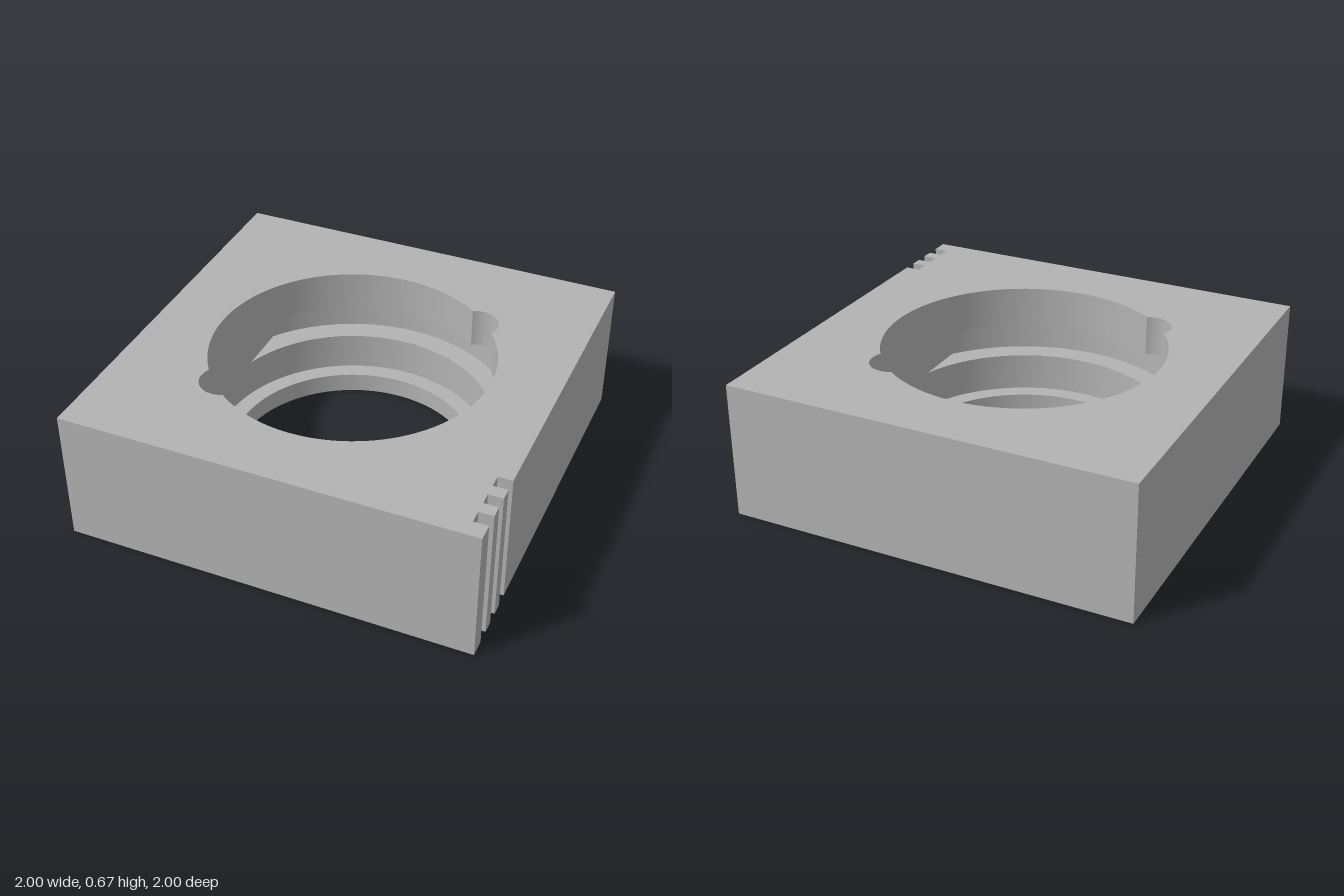
import * as THREE from 'three';
import { mergeGeometries, toCreasedNormals } from 'three/addons/utils/BufferGeometryUtils.js';

// Plan outlines are drawn in (x, -z) and counter-clockwise unless reversed.
const V = (x, y) => new THREE.Vector2(x, y);
const HEIGHT = 0.67, LIP = 0.1, SLOT_LOW = 0.29, SLOT_HIGH = 0.47;
const R_HOLE = 0.6, R_BORE = 0.685, R_SLOT = 0.8, SLOT_X = 0.655;
const KEY = 0.455, R_KEY = 0.11;

function arc(r, a0, a1, cx = 0, cy = 0) {
  const n = Math.max(2, Math.ceil(Math.abs(a1 - a0) / (Math.PI / 60)));
  return Array.from({ length: n + 1 }, (_, i) => {
    const a = a0 + (a1 - a0) * i / n;
    return V(cx + r * Math.cos(a), cy + r * Math.sin(a));
  });
}

const turn = pts => pts.map(p => V(-p.x, -p.y));
const reverse = pts => [...pts].reverse();

// Vertical wall along a path, facing to the right of its direction
function wall(pts, y0, y1) {
  const pos = [];
  for (let i = 0; i < pts.length - 1; i++) {
    const a = pts[i], b = pts[i + 1];
    if (a.distanceTo(b) < 1e-6) continue;
    pos.push(a.x, y0, -a.y, b.x, y0, -b.y, b.x, y1, -b.y);
    pos.push(a.x, y0, -a.y, b.x, y1, -b.y, a.x, y1, -a.y);
  }
  const g = new THREE.BufferGeometry();
  g.setAttribute('position', new THREE.Float32BufferAttribute(pos, 3));
  return g;
}

// Level face with an optional hole, facing up or down
function cap(pts, y, hole, down = false) {
  const shape = new THREE.Shape(pts);
  if (hole) shape.holes.push(new THREE.Path(hole));
  const g = new THREE.ShapeGeometry(shape);
  if (down) g.index.array.reverse();
  g.rotateX(-Math.PI / 2).translate(0, y, 0);
  const flat = g.toNonIndexed();
  flat.deleteAttribute('uv');
  flat.deleteAttribute('normal');
  return flat;
}

export function createModel() {
  const group = new THREE.Group();
  const grey = new THREE.MeshStandardMaterial({ color: 0xb3b3b3 });
  grey.name = 'grey';

  const add = (name, parts) => {
    const g = mergeGeometries(parts);
    g.computeVertexNormals();
    const mesh = new THREE.Mesh(toCreasedNormals(g, 0.4), grey);
    mesh.name = name;
    group.add(mesh);
  };

  // Square outline with three grip grooves near one corner
  const outline = [V(-1, -1), V(1, -1)];
  for (const [a, b] of [[0.915, 0.85], [0.79, 0.73], [0.67, 0.605]]) {
    outline.push(V(1, -a), V(0.93, -a), V(0.93, -b), V(1, -b));
  }
  outline.push(V(1, 1), V(-1, 1));

  // Half of the keyed bore: a bore arc interrupted by the round key notch
  const d = KEY * Math.SQRT2, mid = Math.PI / 4;
  const t = Math.acos((R_BORE ** 2 + d * d - R_KEY ** 2) / (2 * R_BORE * d));
  const phi = Math.atan2(R_BORE * Math.sin(t), R_BORE * Math.cos(t) - d);
  const keyedArc = (a0, a1) => [
    ...arc(R_BORE, a0, mid - t),
    ...arc(R_KEY, mid - phi, mid + phi, KEY, KEY).slice(1, -1),
    ...arc(R_BORE, mid + t, a1),
  ];
  const half = keyedArc(0, Math.PI);
  const keyed = [...half, ...turn(half).slice(1)];
  const circle = r => arc(r, 0, Math.PI * 2);
  const open = pts => pts.slice(0, -1);

  add('blockBody', [
    wall([...outline, outline[0]], 0, HEIGHT),
    cap(outline, HEIGHT, open(keyed)),
    cap(outline, 0, open(circle(R_HOLE)), true),
  ]);

  add('retainingLip', [
    wall(reverse(circle(R_HOLE)), 0, LIP),
    cap(open(circle(R_BORE)), LIP, open(circle(R_HOLE))),
  ]);

  // Locking slots, cut off straight at both ends
  const aOut = Math.acos(SLOT_X / R_SLOT), aIn = Math.acos(SLOT_X / R_BORE);
  const outer = arc(R_SLOT, aOut, Math.PI - aOut);
  const inner = arc(R_BORE, aIn, Math.PI - aIn);
  const innerKeyed = keyedArc(aIn, Math.PI - aIn);
  const side = arc(R_BORE, -aIn, aIn);

  add('bore', [
    wall(reverse(circle(R_BORE)), LIP, SLOT_LOW),
    wall(reverse(side), SLOT_LOW, SLOT_HIGH),
    wall(reverse(turn(side)), SLOT_LOW, SLOT_HIGH),
    wall(reverse(keyed), SLOT_HIGH, HEIGHT),
  ]);

  [['backLockingSlot', p => p], ['frontLockingSlot', turn]].forEach(([name, place]) => {
    const path = [inner[0], ...outer, inner[inner.length - 1]];
    add(name, [
      wall(reverse(place(path)), SLOT_LOW, SLOT_HIGH),
      cap(place([...outer, ...reverse(inner)]), SLOT_LOW),
      cap(place([...outer, ...reverse(innerKeyed)]), SLOT_HIGH, null, true),
    ]);
  });

  return group;
}
